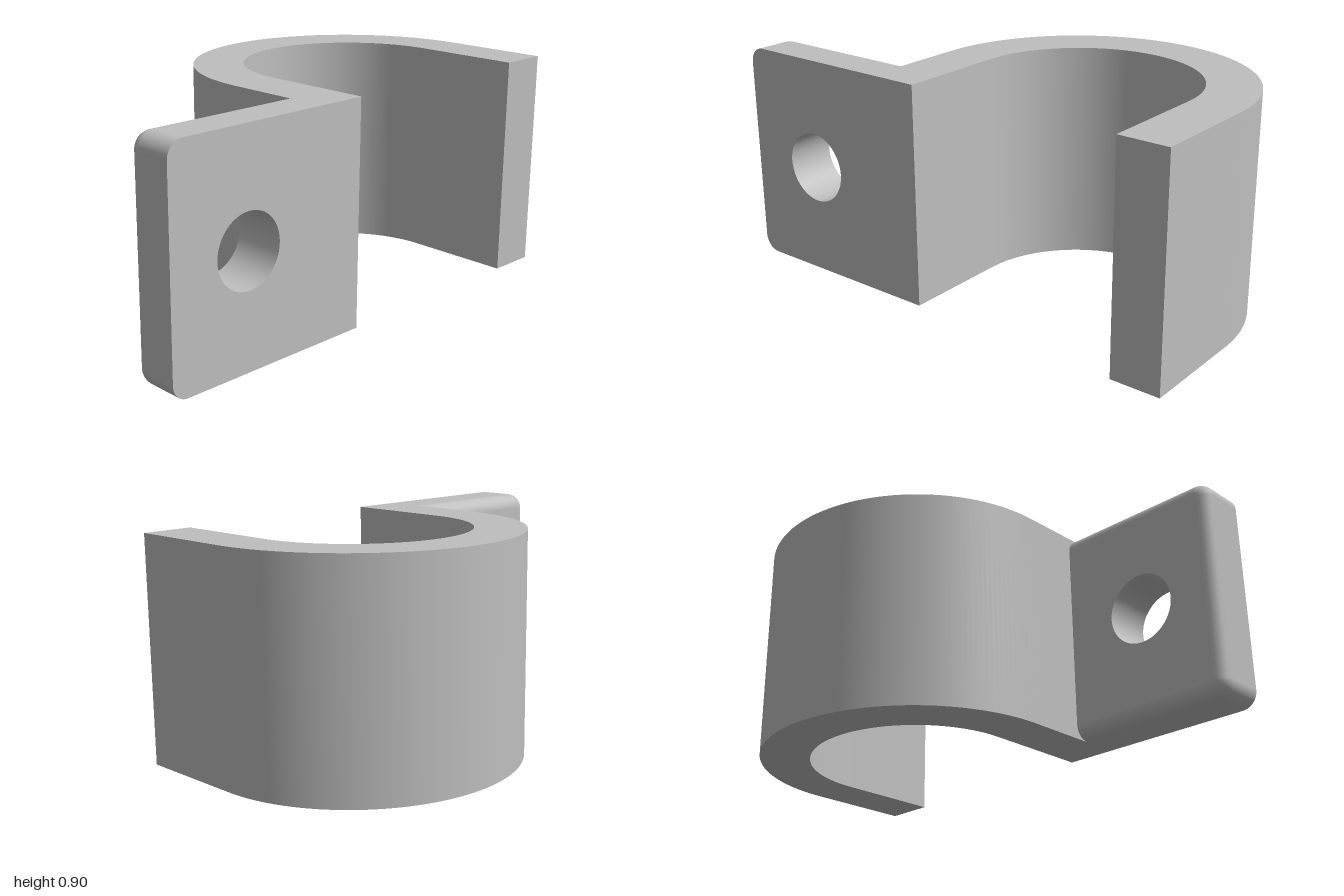
import * as THREE from 'three';
import { toCreasedNormals } from 'three/addons/utils/BufferGeometryUtils.js';

const H = 0.9;                 // height of the clip
const CX = 0.345, CZ = 0.1;    // centre of the arch
const R_OUT = 0.655, R_IN = 0.45;
const FRONT = 0.55;

// U-shaped arch, drawn in plan (shape y = -z) and extruded upwards
function archGeometry() {
  const s = new THREE.Shape();
  s.moveTo(CX - R_OUT, -FRONT);
  s.lineTo(CX - R_OUT, -CZ);
  s.absarc(CX, -CZ, R_OUT, Math.PI, 0, true);
  s.lineTo(CX + R_OUT, -FRONT);
  s.lineTo(CX + R_IN, -FRONT);
  s.lineTo(CX + R_IN, -CZ);
  s.absarc(CX, -CZ, R_IN, 0, Math.PI, false);
  s.lineTo(CX - R_IN, -FRONT);
  s.closePath();
  const g = new THREE.ExtrudeGeometry(s, { depth: H, bevelEnabled: false, curveSegments: 48 });
  g.rotateX(-Math.PI / 2);
  return toCreasedNormals(g, 0.5);
}

// Mounting tab with a screw hole, rounded outer corners and a filleted back rim
function tabGeometry() {
  const left = -1, right = CX - R_OUT, T = 0.205;
  const corner = 0.065, fillet = 0.06, layers = 9;
  const hx = -0.655, hy = H / 2, hr = 0.144;

  const s = new THREE.Shape();
  s.moveTo(right, 0);
  s.lineTo(right, H);
  s.lineTo(left + corner, H);
  s.absarc(left + corner, H - corner, corner, Math.PI / 2, Math.PI, false);
  s.lineTo(left, corner);
  s.absarc(left + corner, corner, corner, Math.PI, Math.PI * 1.5, false);
  s.closePath();
  s.holes.push(new THREE.Path().absarc(hx, hy, hr, 0, Math.PI * 2, true));

  const g = new THREE.ExtrudeGeometry(s, { depth: T, steps: layers, bevelEnabled: false, curveSegments: 24 });
  const pos = g.attributes.position, nor = g.attributes.normal;
  const sides = g.groups[1];
  const n = new THREE.Vector3();
  for (let i = 0; i < pos.count; i++) {
    const x = pos.getX(i), y = pos.getY(i);
    const k = Math.round(pos.getZ(i) / T * layers);
    const t = Math.min(k / (layers - 1), 1) * Math.PI / 2;
    // inset the rim towards the core rectangle along a quarter circle
    const cx = Math.max(x, left + corner);
    const cy = THREE.MathUtils.clamp(y, corner, H - corner);
    const scale = (corner - fillet * (1 - Math.sin(t))) / corner;
    const z = k === layers ? T : fillet * (1 - Math.cos(t));
    pos.setXYZ(i, cx + (x - cx) * scale, cy + (y - cy) * scale, z);
    // smooth normals on the rim and inside the hole, flat ones on both faces
    if (i >= sides.start) {
      const inHole = Math.hypot(x - hx, y - hy) < hr + 0.01;
      if (inHole) n.set(hx - x, hy - y, 0).normalize();
      else {
        n.set(x - cx, y - cy, 0).normalize().multiplyScalar(Math.sin(t));
        n.z = -Math.cos(t);
      }
      nor.setXYZ(i, n.x, n.y, n.z);
    }
  }
  g.clearGroups();
  g.translate(0, 0, FRONT - T);
  return g;
}

export function createModel() {
  const grey = new THREE.MeshStandardMaterial({ color: 0xbfbfbf });
  grey.name = 'light grey';

  const model = new THREE.Group();
  model.name = 'pipeClip';
  for (const [name, geometry] of [['arch', archGeometry()], ['mountingTab', tabGeometry()]]) {
    const mesh = new THREE.Mesh(geometry, grey);
    mesh.name = name;
    model.add(mesh);
  }
  return model;
}
